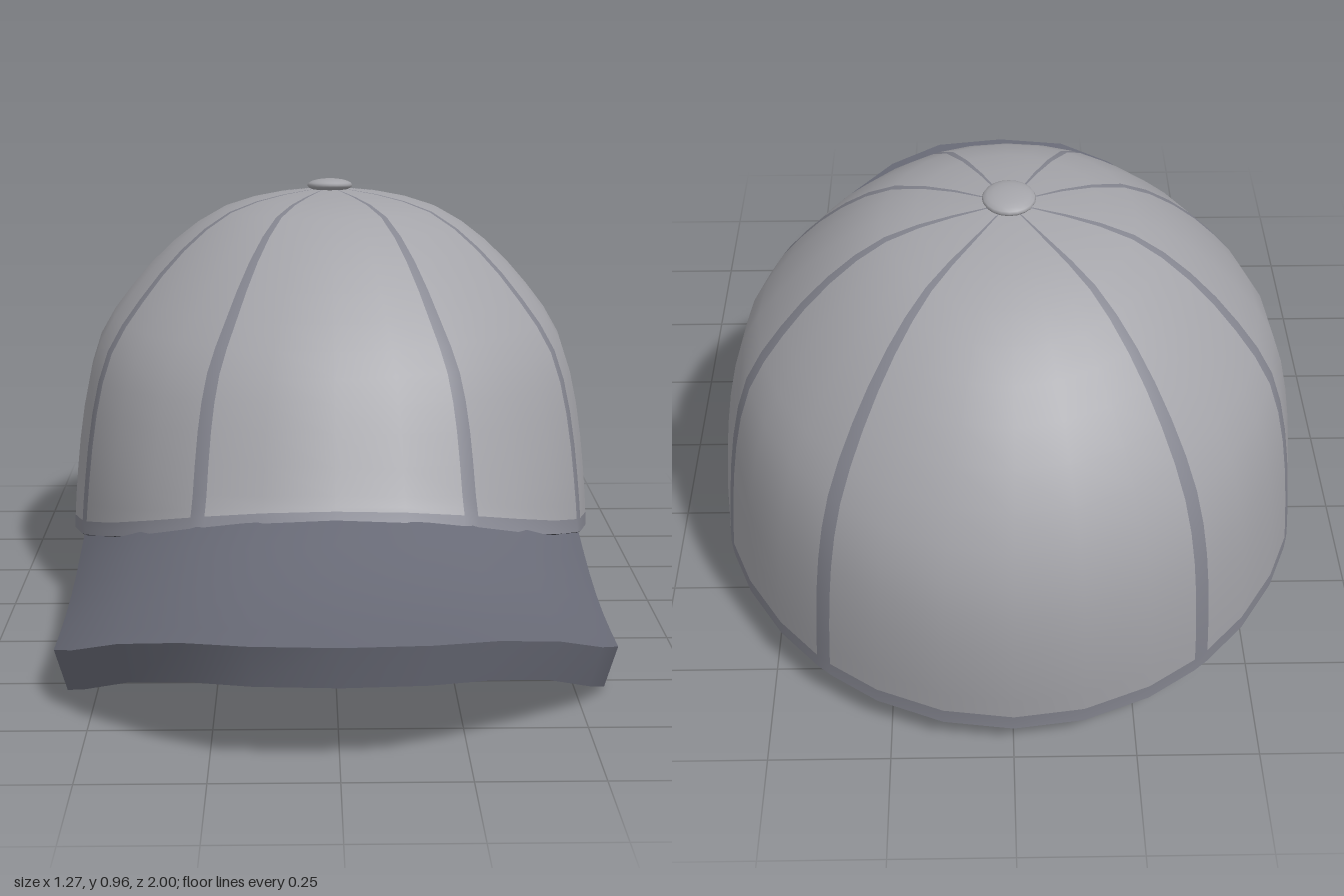
import * as THREE from 'three';
import { mergeVertices, toCreasedNormals } from 'three/addons/utils/BufferGeometryUtils.js';

const CZ = -0.38; // z of the crown's apex
const WALL = 0.085; // thickness of the crown
const { lerp } = THREE.MathUtils;

// Crown profiles from apex to hem, as [radius, height]
const smooth = pts => new THREE.SplineCurve(pts.map(p => new THREE.Vector2(...p)))
  .getPoints(2 * (pts.length - 1)).map(p => [p.x, p.y]);
const FRONT = smooth([[0, .935], [.14, .928], [.29, .9], [.42, .815], [.545, .70], [.63, .60], [.695, .49], [.76, .37], [.785, .345], [.81, .32]]);
const SIDE = smooth([[0, .935], [.12, .925], [.26, .89], [.38, .81], [.485, .70], [.565, .58], [.605, .43], [.625, .27], [.634, .15], [.635, .12]]);
const BACK = smooth([[0, .935], [.14, .912], [.27, .86], [.395, .778], [.505, .66], [.585, .52], [.62, .38], [.62, .22], [.607, .1], [.605, .065]]);
const HEM = FRONT.length - 1;

// Column angles on one side; each seam is a narrow column
const SEAMS = [28, 67, 106, 142];
const HALF = [0, 14, 40, 53, 79, 92, 118, 130, 154, 167, 180];
SEAMS.forEach(s => HALF.push(s - 1.6, s + 1.6));
HALF.sort((a, b) => a - b);
const ANGLES = [...HALF, ...HALF.slice(1, -1).reverse().map(a => 360 - a)];

// Point on the outside of the crown
function crownPoint(row, deg) {
  const a = deg * Math.PI / 180, c = Math.cos(a), s = Math.sin(a);
  const end = (c > 0 ? FRONT : BACK)[row], [r, h] = SIDE[row];
  return [r * s, lerp(h, end[1], Math.abs(c) ** 1.6), CZ + end[0] * c + .087 * r * s * s];
}

// Surface through closed rows of points
function grid(rows) {
  const n = rows[0].length, index = [];
  for (let i = 0; i < rows.length - 1; i++) {
    for (let j = 0; j < n; j++) {
      const k = (j + 1) % n, a = i * n + j, b = a + n, c = (i + 1) * n + k, d = i * n + k;
      index.push(a, b, c, a, c, d);
    }
  }
  const g = new THREE.BufferGeometry();
  g.setAttribute('position', new THREE.Float32BufferAttribute(rows.flat(2), 3));
  g.setIndex(index);
  const merged = mergeVertices(g);
  merged.computeVertexNormals();
  return merged;
}

// Part of a grid, chosen by row and column
function pick(geometry, cols, test) {
  const g = geometry.clone();
  g.setIndex([...geometry.index.array].filter((_, k) => {
    const q = Math.floor(k / 6);
    return test(Math.floor(q / cols), q % cols);
  }));
  return g;
}

// Inside of the crown: the outer surface moved in along its normals and turned over
function liningGeometry(crown, cols) {
  const g = crown.clone(), p = g.attributes.position, normal = g.attributes.normal;
  for (let i = 0; i < p.count; i++) {
    const drop = i >= p.count - cols ? .02 : 0;
    p.setXYZ(i, p.getX(i) - WALL * normal.getX(i), p.getY(i) - WALL * normal.getY(i) - drop,
      p.getZ(i) - WALL * normal.getZ(i));
  }
  g.setIndex([...crown.index.array].reverse());
  g.computeVertexNormals();
  return g;
}

// The last ring of points of a crown surface
function hemRing(geometry, cols) {
  const p = geometry.attributes.position;
  return Array.from({ length: cols }, (_, j) =>
    new THREE.Vector3().fromBufferAttribute(p, p.count - cols + j).toArray());
}

// Brim: outline points from the centre to one side, as [x, z]
const EDGE = [[0, 1], [.17, .98], [.3, .91], [.43, .80], [.535, .675], [.585, .57]];
const STEPS = 6;

// Closed section of the brim, running out along the top and back underneath
function brimSection([x, zOuter]) {
  const s = Math.abs(x) / .585;
  const c = Math.sqrt(1 - (x / .63) ** 2);
  const zInner = CZ + .80 * c + .045 * s * s;
  const yInner = lerp(.12, .32, c ** 1.6) + .01 * (1 - s ** 4);
  const yOuter = .265 - .165 * s ** 3;
  const top = [], bottom = [];
  for (let i = 0; i <= STEPS; i++) {
    const t = i / STEPS, z = lerp(zInner, zOuter, t);
    const y = lerp(yInner, yOuter, t) - .025 * Math.sin(Math.PI * t);
    // Thinner at the bevelled lip and where it meets the crown
    const full = i === STEPS ? lerp(.087, .097, s ** 8) : lerp(.112, .1, s ** 16);
    const thick = full * (1 - lerp(.25, .75, s ** 4) * (1 - t) ** 5);
    top.push([x, y, z]);
    bottom.unshift([x * .96, y - thick, z - lerp((WALL + .01) * c, .02, t)]);
  }
  return [...top, ...bottom];
}

function brimGeometry() {
  const mirrored = EDGE.slice(1).reverse().map(([x, z]) => [-x, z]);
  const sections = [...mirrored, ...EDGE].map(brimSection);
  // Collapse each end section onto its mid line to close the sides
  const cap = sec => sec.map((p, i) => {
    const q = sec[sec.length - 1 - i];
    return p.map((v, k) => (v + q[k]) / 2);
  });
  const rows = [cap(sections[0]), ...sections, cap(sections[sections.length - 1])];
  // Columns run around each section, rows run from right to left
  return toCreasedNormals(grid(rows.map(r => [...r].reverse())).toNonIndexed(), 0.7);
}

export function createModel() {
  const group = new THREE.Group();
  const paint = color => new THREE.MeshStandardMaterial({ color });
  const cloth = paint(0xa4a4a9), seamCloth = paint(0x84858f), brimCloth = paint(0x696b77);
  const rimCloth = paint(0x4c4d55), liningCloth = paint(0x5c5d63);
  const add = (name, geometry, material) => {
    const mesh = new THREE.Mesh(geometry, material);
    mesh.name = name;
    group.add(mesh);
    return mesh;
  };

  // Crown panels, with the seams and hem band sharing their smooth normals
  const n = ANGLES.length;
  const crown = grid(FRONT.map((_, row) => ANGLES.map(a => crownPoint(row, a))));
  const isTrim = (row, col) => {
    const mid = (ANGLES[col] + (ANGLES[col + 1] ?? 360)) / 2;
    return row >= HEM - 2 || SEAMS.some(s => Math.abs(s - Math.min(mid, 360 - mid)) < 0.5);
  };
  add('crownPanels', pick(crown, n, (i, j) => !isTrim(i, j)), cloth);
  add('crownSeams', pick(crown, n, isTrim), seamCloth);

  // Inner lining, joined to the outside by a rounded rim
  const lining = liningGeometry(crown, n);
  add('lining', lining, liningCloth);
  const outer = hemRing(crown, n), inner = hemRing(lining, n);
  const middle = outer.map((p, j) => p.map((v, k) => (v + inner[j][k]) / 2 - (k === 1 ? .01 : 0)));
  add('crownRim', grid([outer, middle, inner]), rimCloth);

  // Curved brim
  add('brim', brimGeometry(), brimCloth);

  // Button on top
  const button = add('button', new THREE.SphereGeometry(.055, 20, 10), cloth);
  button.scale.y = .3;
  button.position.set(0, .942, -.37);
  button.rotation.x = -.1;
  return group;
}
